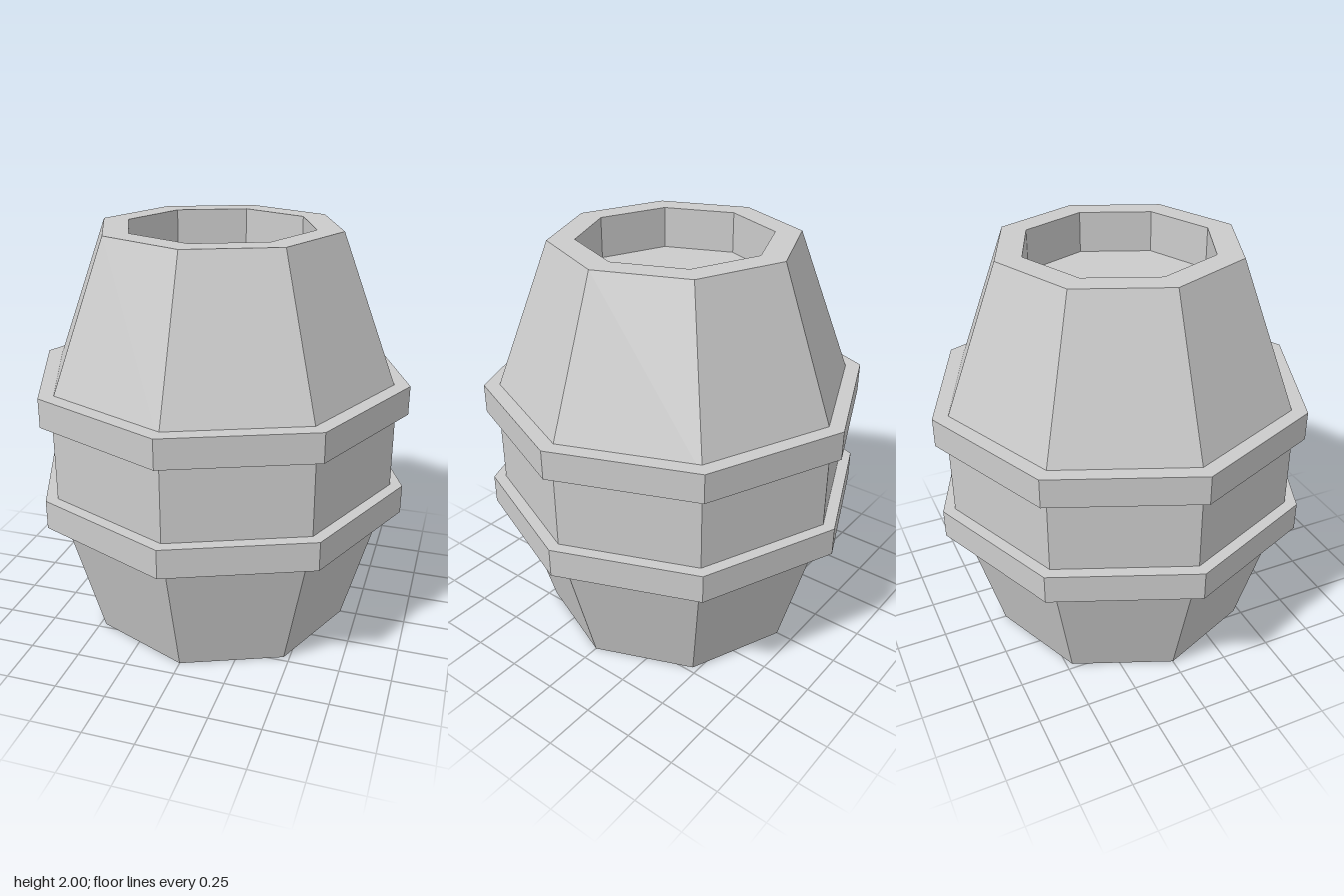
import * as THREE from 'three';

const SIDES = 8;

// Eight-sided turned part; profile runs [radius, height] from bottom to top
function turned(name, profile, material) {
  const points = profile.map(([r, y]) => new THREE.Vector2(r, y));
  const mesh = new THREE.Mesh(new THREE.LatheGeometry(points, SIDES), material);
  mesh.name = name;
  return mesh;
}

export function createModel() {
  const barrel = new THREE.Group();
  barrel.name = 'barrel';
  const material = new THREE.MeshStandardMaterial({ color: 0xcccccc, flatShading: true });

  // Body with a shallow recess underneath and a deep one in the lid
  barrel.add(turned('body', [
    [0, 0.03], [0.56, 0.03], [0.56, 0], [0.667, 0],
    [0.873, 0.75], [0.873, 1.256],
    [0.587, 2], [0.46, 2], [0.46, 1.8], [0, 1.8],
  ], material));

  // Two hoops around the belly
  for (const [name, low, high] of [['lowerHoop', 0.635, 0.778], ['upperHoop', 1.155, 1.297]]) {
    barrel.add(turned(name, [[0.82, low], [0.933, low], [0.933, high], [0.82, high]], material));
  }
  return barrel;
}
